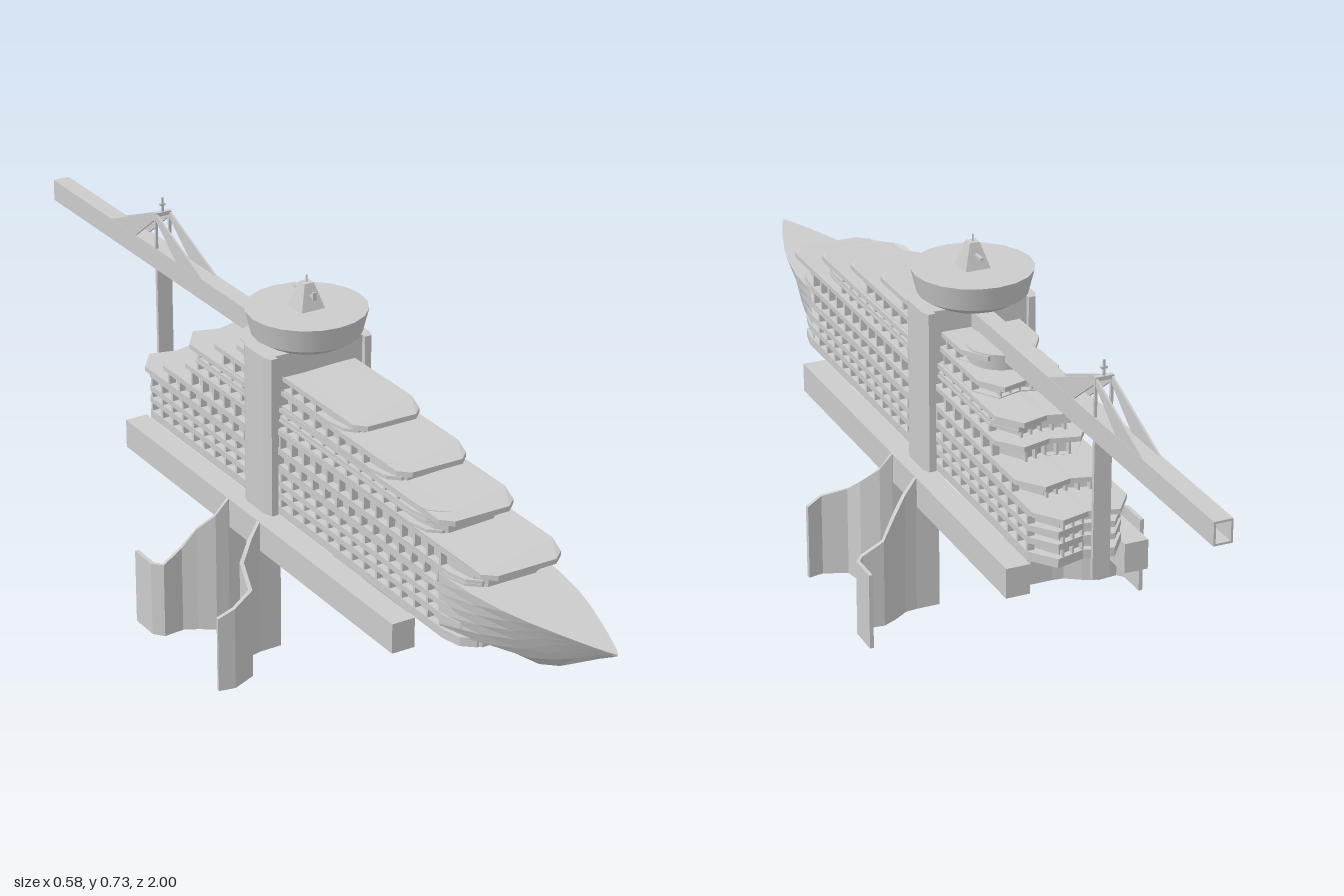
import * as THREE from 'three';
import { mergeGeometries } from 'three/addons/utils/BufferGeometryUtils.js';

const grey = new THREE.MeshStandardMaterial({ color: 0xcccccc, flatShading: true, side: THREE.DoubleSide });
const smooth = new THREE.MeshStandardMaterial({ color: 0xcccccc, side: THREE.DoubleSide });

export function createModel() {
  const model = new THREE.Group();
  const add = (name, geo, mat = grey) => {
    const m = new THREE.Mesh(geo, mat);
    m.name = name;
    model.add(m);
    return m;
  };
  // box given by its limits
  const box = (x0, x1, y0, y1, z0, z1) =>
    new THREE.BoxGeometry(x1 - x0, y1 - y0, z1 - z0)
      .translate((x0 + x1) / 2, (y0 + y1) / 2, (z0 + z1) / 2);

  // deck outline seen from above, extruded from y0 to y1
  const deck = (w, zf, zb, y0, y1, droop = 0) => {
    const half = [[w, zb + 0.05], [w, zf - 0.06], [w * 0.9, zf - 0.02], [w * 0.65, zf]];
    const pts = [[w * 0.6, zb], ...half];
    const all = [...pts, ...pts.slice().reverse().map(([x, z]) => [-x, z]), [0, zb + 0.015]];
    const s = new THREE.Shape(all.map(([x, z]) => new THREE.Vector2(x, -z)));
    const g = new THREE.ExtrudeGeometry(s, { depth: y1 - y0, bevelEnabled: false });
    g.rotateX(-Math.PI / 2).translate(0, y0, 0);
    const p = g.attributes.position;
    for (let i = 0; i < p.count; i++) {
      if (droop && p.getZ(i) > zf - 0.03) p.setY(i, p.getY(i) - droop);
    }
    g.computeVertexNormals();
    return g;
  };

  // bow: [z, half width at deck, bottom y, fullness exponent]
  const stations = [[0.6, 0.095, 0.28, 0.02], [0.7, 0.09, 0.28, 0.2], [0.78, 0.077, 0.28, 0.6],
    [0.84, 0.061, 0.305, 0.8], [0.9, 0.041, 0.342, 0.9], [0.95, 0.023, 0.373, 0.9],
    [0.985, 0.009, 0.393, 0.9], [1, 0.001, 0.402, 0.9]];
  const n = 6, ring = 2 * n + 2, pos = [], idx = [];
  for (const [z, w, b, e] of stations) {
    for (let k = 0; k < ring; k++) {
      const left = k <= n;
      const t = left ? 1 - k / n : (k - n - 1) / n;
      pos.push((left ? -1 : 1) * w * Math.pow(Math.max(t, 0.001), e), b + (0.405 - b) * t, z);
    }
  }
  for (let i = 0; i < stations.length - 1; i++) {
    for (let k = 0; k < ring; k++) {
      const a = i * ring + k, b = i * ring + (k + 1) % ring;
      idx.push(a, b, a + ring, b, b + ring, a + ring);
    }
  }
  const bow = new THREE.BufferGeometry();
  bow.setAttribute('position', new THREE.Float32BufferAttribute(pos, 3));
  bow.setIndex(idx);
  const bowFlat = bow.toNonIndexed();
  bowFlat.computeVertexNormals();
  add('bow', bowFlat);

  // cabin tiers: [y0, y1, front z, back z, half width]
  const tiers = [[0.28, 0.32, 0.68, -0.5, 0.094], [0.32, 0.345, 0.68, -0.5, 0.094],
    [0.345, 0.375, 0.68, -0.5, 0.094], [0.375, 0.41, 0.69, -0.43, 0.093],
    [0.41, 0.45, 0.69, -0.34, 0.091], [0.45, 0.475, 0.56, -0.32, 0.088],
    [0.475, 0.495, 0.56, -0.32, 0.086], [0.495, 0.527, 0.42, -0.23, 0.082],
    [0.527, 0.555, 0.27, -0.15, 0.078]];
  const cores = [], slabs = [], dividers = [];
  tiers.forEach(([y0, y1, zf, zb, w], i) => {
    cores.push(deck(w - 0.014, zf, zb + 0.015, y0, y1));
    const sill = i === 0 ? 0.018 : 0.007;
    slabs.push(deck(w, zf - 0.005, zb, y0, y0 + sill));
    slabs.push(deck(w, zf - 0.005, zb, y1 - 0.005, y1));
    // balcony walls along both sides and the stern
    for (let z = zb + 0.055; z < zf - 0.08; z += 0.042) {
      for (const s of [-1, 1]) {
        const x = s * (w - 0.008);
        dividers.push(box(x - 0.007, x + 0.007, y0, y1, z - 0.003, z + 0.003));
      }
    }
    for (let k = -2; k <= 2; k++) {
      const x = k * 0.022;
      dividers.push(box(x - 0.002, x + 0.002, y0, y1, zb + 0.016 - Math.abs(k) * 0.006, zb + 0.03));
    }
  });
  add('cabins', mergeGeometries(cores));
  add('balconyFloors', mergeGeometries(slabs));
  add('balconyDividers', mergeGeometries(dividers));

  // roofs with drooping front visors: [y, front z, back z, half width]
  const roofs = [[0.375, 0.6, -0.52, 0.094], [0.407, 0.66, -0.445, 0.094], [0.447, 0.735, -0.355, 0.094],
    [0.49, 0.595, -0.345, 0.088], [0.523, 0.45, -0.255, 0.083], [0.552, 0.3, -0.175, 0.08]];
  add('roofs', mergeGeometries(roofs.map(([y, zf, zb, w]) => deck(w, zf, zb, y, y + 0.01, 0.007))));
  const lounge = new THREE.CylinderGeometry(0.065, 0.06, 0.055, 20);
  add('rearLounge', lounge.translate(0, 0.537, -0.125), smooth);

  // tower straddling the ship
  add('towerHead', box(-0.1, 0.1, 0.4, 0.606, -0.035, 0.045));
  const legPlan = [[0.096, -0.045], [0.11, -0.045], [0.117, -0.03], [0.117, 0.035], [0.11, 0.055], [0.096, 0.055]];

  // wavy foot plates: [x, z, top y]
  const frontPlate = [[0.097, 0.06, 0.28], [0.145, 0.061, 0.28], [0.167, 0.066, 0.25], [0.197, 0.088, 0.22],
    [0.206, 0.135, 0.185], [0.255, 0.156, 0.17], [0.287, 0.15, 0.155]];
  const backPlate = [[0.097, -0.055, 0.28], [0.145, -0.055, 0.28], [0.17, -0.058, 0.25], [0.2, -0.078, 0.22],
    [0.228, -0.092, 0.18], [0.27, -0.088, 0.156], [0.284, -0.105, 0.155], [0.284, -0.168, 0.155]];
  const plate = (pts, s) => {
    const p = [], f = [], t = 0.004;
    pts.forEach(([x, z, y], i) => {
      const a = pts[Math.max(i - 1, 0)], b = pts[Math.min(i + 1, pts.length - 1)];
      const l = Math.hypot(b[0] - a[0], b[1] - a[1]);
      const nx = -(b[1] - a[1]) / l * t, nz = (b[0] - a[0]) / l * t;
      p.push(s * (x + nx), 0, z + nz, s * (x + nx), y, z + nz, s * (x - nx), y, z - nz, s * (x - nx), 0, z - nz);
      if (!i) return;
      for (let k = 0; k < 4; k++) {
        const c = i * 4 - 4 + k, d = i * 4 - 4 + (k + 1) % 4;
        f.push(...(s > 0 ? [c, c + 4, d, d, c + 4, d + 4] : [c, d, c + 4, d, d + 4, c + 4]));
      }
    });
    const e = pts.length * 4 - 4;
    f.push(...(s > 0 ? [0, 1, 2, 0, 2, 3, e, e + 2, e + 1, e, e + 3, e + 2]
      : [0, 2, 1, 0, 3, 2, e, e + 1, e + 2, e, e + 2, e + 3]));
    const g = new THREE.BufferGeometry();
    g.setAttribute('position', new THREE.Float32BufferAttribute(p, 3));
    g.setIndex(f);
    const flat = g.toNonIndexed();
    flat.computeVertexNormals();
    return flat;
  };
  for (const s of [1, -1]) {
    const side = s > 0 ? 'left' : 'right';
    const shape = new THREE.Shape(legPlan.map(([x, z]) => new THREE.Vector2(s * x, -z)));
    const leg = new THREE.ExtrudeGeometry(shape, { depth: 0.606, bevelEnabled: false });
    add(side + 'TowerLeg', leg.rotateX(-Math.PI / 2));
    add(side + 'Platform', box(Math.min(s * 0.095, s * 0.143), Math.max(s * 0.095, s * 0.143), 0.22, 0.28, -0.465, 0.528));
    add(side + 'FrontFoot', plate(frontPlate, s));
    add(side + 'BackFoot', plate(backPlate, s));
  }

  // round lookout with its mast
  const bowl = [[0, 0.606], [0.08, 0.606], [0.106, 0.622], [0.106, 0.622], [0.118, 0.67], [0.118, 0.67], [0, 0.67]];
  add('lookout', new THREE.LatheGeometry(bowl.map(([r, y]) => new THREE.Vector2(r, y)), 20), smooth);
  const cone = new THREE.CylinderGeometry(0.014, 0.036, 0.05, 4).rotateY(Math.PI / 4);
  add('mastBase', cone.translate(0, 0.695, 0));
  add('mast', new THREE.CylinderGeometry(0.0015, 0.0015, 0.02, 6).translate(0, 0.724, 0));
  add('mastArms', mergeGeometries([box(-0.003, 0.003, 0.695, 0.7, -0.042, 0.03), box(-0.004, 0.004, 0.692, 0.708, 0.026, 0.03)]));

  // hollow boom reaching backwards
  const section = new THREE.Shape([[-0.018, 0.55], [0.018, 0.55], [0.018, 0.595], [-0.018, 0.595]].map(a => new THREE.Vector2(...a)));
  section.holes.push(new THREE.Path([[-0.014, 0.554], [-0.014, 0.591], [0.014, 0.591], [0.014, 0.554]].map(a => new THREE.Vector2(...a))));
  add('boom', new THREE.ExtrudeGeometry(section, { depth: 0.97, bevelEnabled: false }).translate(0, 0, -1));

  // pylon, stays and the long drop column
  add('dropColumn', box(-0.017, 0.017, 0.276, 0.552, -0.559, -0.551));
  const parts = [box(-0.018, 0.018, 0.664, 0.672, -0.56, -0.55), box(-0.002, 0.002, 0.67, 0.702, -0.557, -0.553),
    box(-0.006, 0.006, 0.685, 0.689, -0.558, -0.552)];
  for (const s of [-1, 1]) {
    parts.push(box(s * 0.0155 - 0.0025, s * 0.0155 + 0.0025, 0.594, 0.67, -0.558, -0.552));
    for (const d of [-1, 1]) {
      const stay = new THREE.Shape([[d * 0.19, 0.594], [0, 0.671], [0, 0.658], [d * 0.085, 0.594]].map(a => new THREE.Vector2(...a)));
      const g = new THREE.ExtrudeGeometry(stay, { depth: 0.004, bevelEnabled: false });
      parts.push(g.rotateY(Math.PI / 2).translate(s * 0.0155 - 0.002, 0, -0.555));
    }
  }
  add('pylon', mergeGeometries(parts.map(g => (g.index ? g.toNonIndexed() : g))));
  return model;
}
